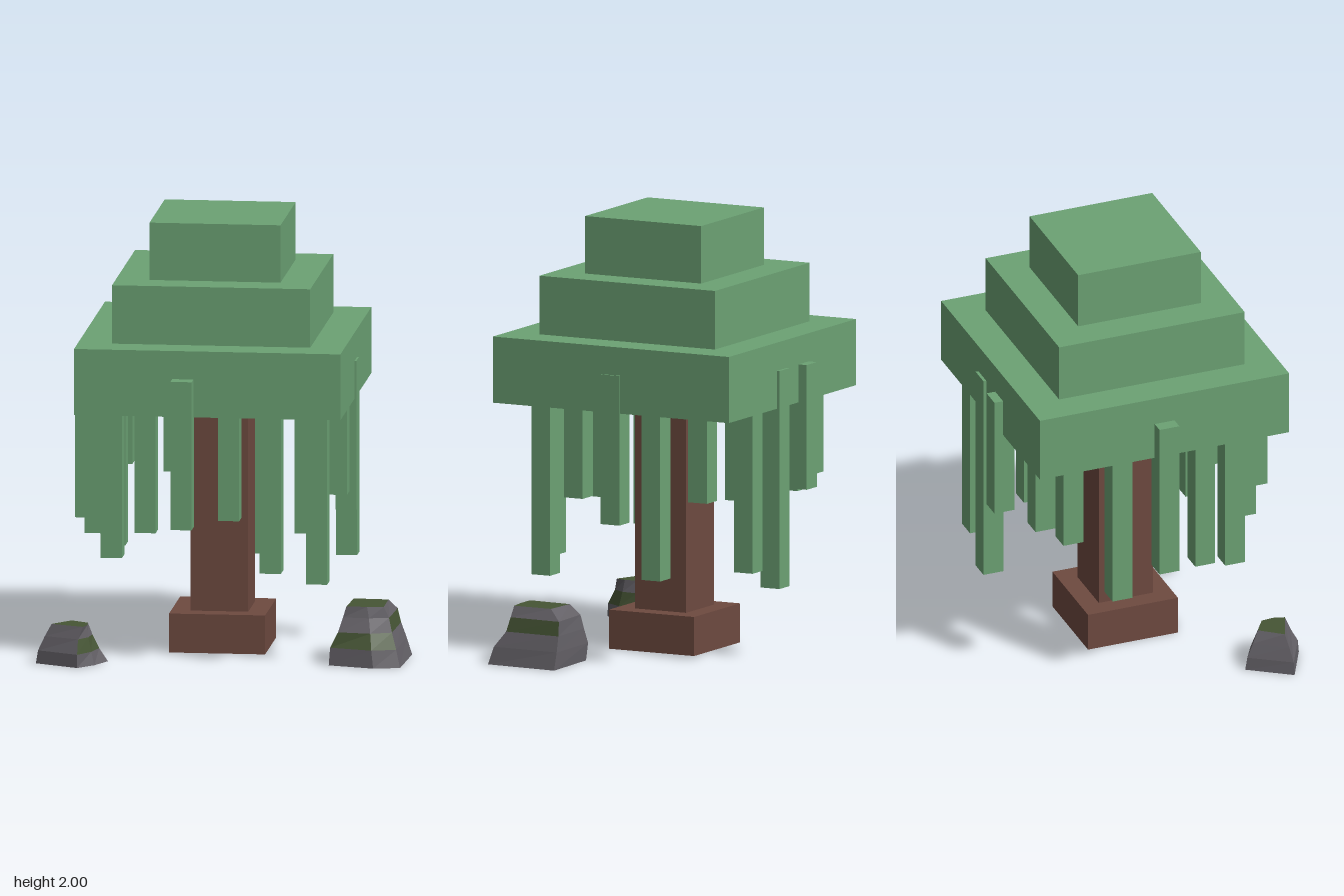
import * as THREE from 'three';

const mat = (name, color) => {
  const m = new THREE.MeshStandardMaterial({ color });
  m.name = name;
  return m;
};

// Box from its centre on the ground plane and its vertical extent
function block(name, material, x, z, width, y0, y1) {
  const mesh = new THREE.Mesh(new THREE.BoxGeometry(width, y1 - y0, width), material);
  mesh.name = name;
  mesh.position.set(x, (y0 + y1) / 2, z);
  return mesh;
}

// Faceted rock from stacked rings of [x, z]; mossy(level, side) picks the mossy faces
function rock(name, heights, rings, mossy, stone, moss) {
  const faces = { stone: [], moss: [] };
  const n = rings[0].length;
  const pt = (k, i) => [rings[k][i % n][0], heights[k], rings[k][i % n][1]];
  const tri = (list, a, b, c) => list.push(...a, ...b, ...c);
  const last = rings.length - 1;
  for (let k = 0; k < last; k++) {
    for (let i = 0; i < n; i++) {
      const list = mossy(k, i) ? faces.moss : faces.stone;
      tri(list, pt(k, i + 1), pt(k, i), pt(k + 1, i));
      tri(list, pt(k, i + 1), pt(k + 1, i), pt(k + 1, i + 1));
    }
  }
  // Flat underside and mossy top
  for (let i = 1; i < n - 1; i++) {
    tri(faces.stone, pt(0, 0), pt(0, i), pt(0, i + 1));
    tri(faces.moss, pt(last, 0), pt(last, i + 1), pt(last, i));
  }
  const group = new THREE.Group();
  group.name = name;
  for (const [key, material] of [['stone', stone], ['moss', moss]]) {
    const geo = new THREE.BufferGeometry();
    geo.setAttribute('position', new THREE.Float32BufferAttribute(faces[key], 3));
    geo.computeVertexNormals();
    const mesh = new THREE.Mesh(geo, material);
    mesh.name = name + (key === 'stone' ? 'Stone' : 'Moss');
    group.add(mesh);
  }
  return group;
}

export function createModel() {
  const foliage = mat('foliage green', 0x6ca274);
  const bark = mat('bark brown', 0x6e4a40);
  const stone = mat('stone grey', 0x636066);
  const moss = mat('moss green', 0x465535);
  const root = new THREE.Group();
  root.name = 'willowTree';
  const cx = -0.05, cz = -0.015;

  // Trunk and its foot
  root.add(block('trunkBase', bark, cx, cz, 0.44, 0, 0.18));
  root.add(block('trunk', bark, cx, cz, 0.265, 0.18, 1.16));

  // Stepped canopy
  root.add(block('canopyLower', foliage, cx, cz, 1.22, 1.16, 1.465));
  root.add(block('canopyMiddle', foliage, cx, cz, 0.908, 1.465, 1.735));
  root.add(block('canopyTop', foliage, cx, cz, 0.6, 1.735, 2));

  // Hanging strands every 20 degrees: [radius, bottom height]
  const strands = [
    [0.57, 0.645], [0.585, 0.75], [0.63, 0.37], [0.56, 0.43], [0.55, 0.68], [0.643, 0.65],
    [0.583, 0.61], [0.6, 0.47], [0.59, 0.55], [0.622, 0.585], [0.543, 0.425], [0.66, 0.76],
    [0.54, 0.72], [0.613, 0.76], [0.584, 0.33], [0.64, 0.43], [0.634, 0.765], [0.585, 0.4],
  ];
  const hanging = new THREE.Group();
  hanging.name = 'hangingStrands';
  strands.forEach(([r, bottom], i) => {
    const a = (i * Math.PI) / 9;
    hanging.add(block('strand', foliage, cx + r * Math.cos(a), cz + r * Math.sin(a), 0.097, bottom, 1.335));
  });
  root.add(hanging);

  // Large rock: corners run back left, back right, front right, front, front left
  root.add(rock('largeRock', [0, 0.08, 0.15, 0.215, 0.265], [
    [[0.51, 0.14], [0.835, 0.13], [0.82, 0.48], [0.7, 0.51], [0.49, 0.45]],
    [[0.5, 0.135], [0.81, 0.13], [0.8, 0.46], [0.69, 0.495], [0.495, 0.44]],
    [[0.53, 0.14], [0.785, 0.135], [0.775, 0.41], [0.68, 0.45], [0.53, 0.43]],
    [[0.545, 0.15], [0.77, 0.14], [0.76, 0.395], [0.67, 0.415], [0.55, 0.405]],
    [[0.575, 0.19], [0.735, 0.2], [0.735, 0.39], [0.66, 0.4], [0.565, 0.4]],
  ], (k, i) => (k === 1 && (i === 2 || i === 3)) || (k === 2 && i === 1), stone, moss));

  // Small rock: corners run back, right, front right, front, left
  root.add(rock('smallRock', [0, 0.06, 0.125, 0.18], [
    [[-0.71, 0.36], [-0.52, 0.46], [-0.57, 0.57], [-0.64, 0.65], [-0.84, 0.55]],
    [[-0.71, 0.37], [-0.56, 0.46], [-0.585, 0.56], [-0.64, 0.645], [-0.83, 0.55]],
    [[-0.705, 0.4], [-0.59, 0.47], [-0.6, 0.55], [-0.64, 0.61], [-0.8, 0.54]],
    [[-0.69, 0.43], [-0.61, 0.48], [-0.605, 0.54], [-0.62, 0.59], [-0.77, 0.53]],
  ], (k, i) => k === 1 && (i === 1 || i === 2), stone, moss));

  return root;
}
